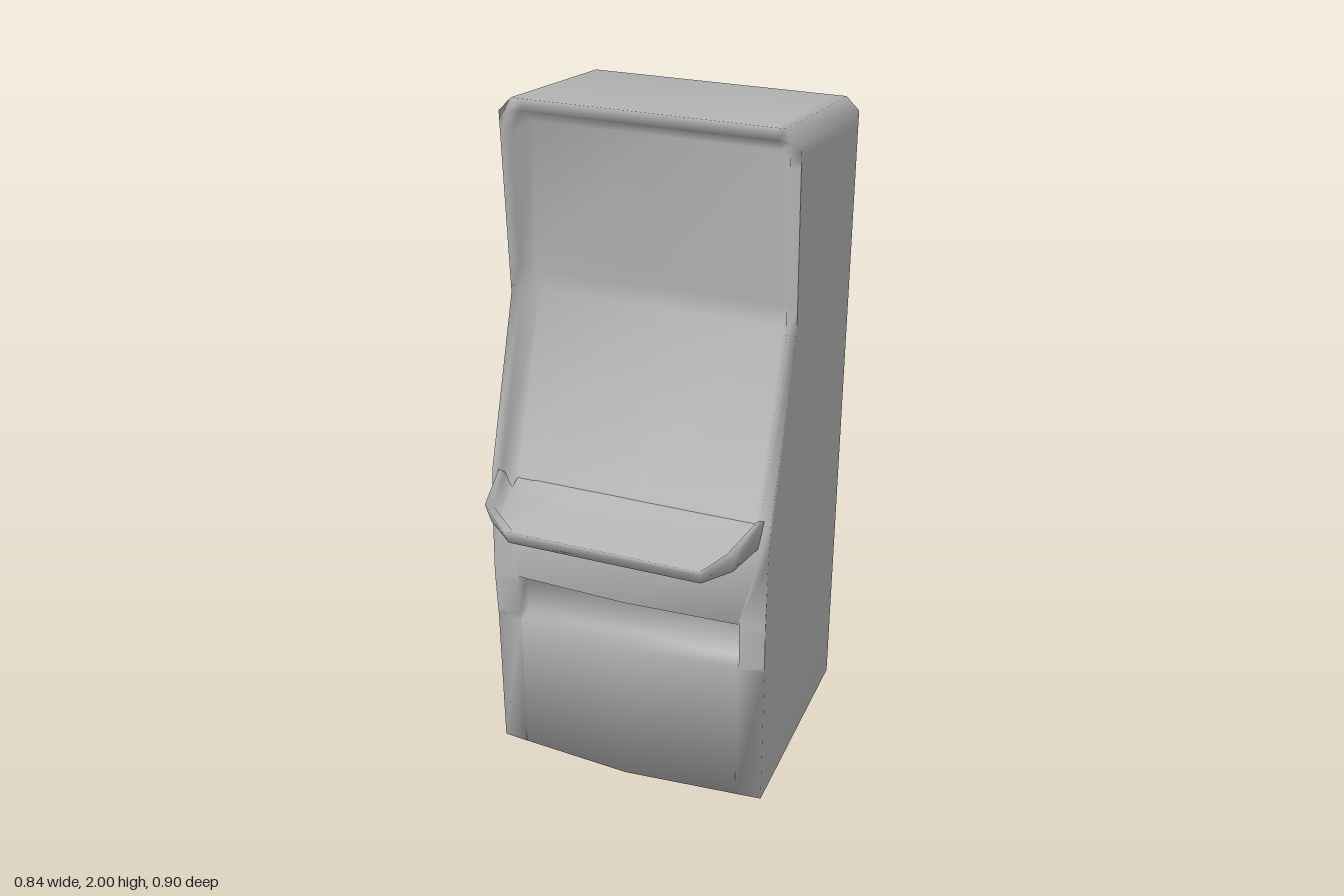
import * as THREE from 'three';

const grey = new THREE.MeshStandardMaterial({ color: 0xb6b6b6 });
grey.name = 'plain grey';

// Mirrors half a cross-section, listed from the outside in, across x = 0.
function mirrorRow(half) {
  const left = half.map(([x, y, z]) => [-x, y, z]);
  const right = half.filter(([x]) => x > 0).reverse();
  return [...left, ...right];
}

// Skins mirrored rows with shared vertices, so shading stays smooth throughout.
function loft(name, halves, closed) {
  const rows = halves.map(mirrorRow);
  const n = rows[0].length;
  const index = [];
  const last = closed ? rows.length : rows.length - 1;
  for (let r = 0; r < last; r++) {
    const s = (r + 1) % rows.length;
    for (let c = 0; c < n - 1; c++) {
      const a = r * n + c, b = a + 1, d = s * n + c, e = d + 1;
      index.push(a, d, b, b, d, e);
    }
  }
  // Flat side panels close the ends of a closed loop.
  if (closed) {
    const outline = rows.map((row) => new THREE.Vector2(row[0][2], row[0][1]));
    for (const [i, j, k] of THREE.ShapeUtils.triangulateShape(outline, [])) {
      const u = outline[j].clone().sub(outline[i]);
      const v = outline[k].clone().sub(outline[i]);
      const [p, q] = u.cross(v) < 0 ? [j, k] : [k, j];
      index.push(i * n + n - 1, p * n + n - 1, q * n + n - 1);
      index.push(i * n, q * n, p * n);
    }
  }
  const geometry = new THREE.BufferGeometry();
  geometry.setAttribute('position', new THREE.Float32BufferAttribute(rows.flat(2), 3));
  geometry.setIndex(index);
  geometry.computeVertexNormals();
  const mesh = new THREE.Mesh(geometry, grey);
  mesh.name = name;
  return mesh;
}

// One cabinet row: side edge, rim, inset panel edge and panel centre.
// Each is given as height and depth; rim and inset also take their x.
function row([oy, oz], [rx, ry, rz], [ix, iy, iz], cz = iz) {
  return [[0.42, oy, oz], [rx, ry, rz], [ix, iy, iz], [0, iy, cz]];
}

export function createModel() {
  const group = new THREE.Group();
  group.name = 'arcadeCabinet';

  group.add(loft('cabinetBody', [
    // back and sloping roof
    row([0, -0.44], [0.39, 0, -0.44], [0.34, 0, -0.44]),
    row([0.42, -0.44], [0.39, 0.42, -0.44], [0.34, 0.42, -0.44]),
    row([1.86, -0.44], [0.39, 1.88, -0.443], [0.34, 1.88, -0.443]),
    row([1.9, -0.44], [0.38, 1.935, -0.447], [0.34, 1.935, -0.447]),
    row([1.96, 0.107], [0.38, 2, 0.11], [0.35, 2, 0.11]),
    // recessed marquee
    row([1.93, 0.105], [0.39, 1.96, 0.107], [0.355, 1.965, 0.105]),
    row([1.9, 0.104], [0.39, 1.9, 0.102], [0.35, 1.92, 0.04]),
    row([1.52, 0.085], [0.39, 1.52, 0.083], [0.355, 1.5, 0.045]),
    // sloping screen
    row([1.43, 0.08], [0.39, 1.43, 0.078], [0.36, 1.42, 0.015]),
    row([0.95, 0.25], [0.39, 0.95, 0.247], [0.36, 0.92, 0.205]),
    // upper front panel
    row([0.84, 0.262], [0.395, 0.84, 0.262], [0.355, 0.84, 0.27], 0.278),
    row([0.62, 0.27], [0.345, 0.622, 0.275], [0.34, 0.615, 0.275], 0.29),
    // coin recess
    row([0.59, 0.269], [0.345, 0.595, 0.273], [0.335, 0.6, 0.225]),
    row([0.48, 0.262], [0.345, 0.48, 0.268], [0.335, 0.475, 0.225]),
    // lower front panel, bowed at the centre
    row([0.46, 0.26], [0.345, 0.455, 0.266], [0.34, 0.46, 0.266], 0.29),
    row([0, 0.255], [0.345, 0, 0.262], [0.34, 0, 0.262], 0.29),
  ], true));

  // Control shelf with raised side rims and cut front corners
  group.add(loft('controlShelf', [
    [[0.36, 0.915, 0.2], [0.3, 0.915, 0.2], [0.2, 0.915, 0.2]],
    [[0.36, 0.9, 0.25], [0.33, 0.88, 0.38], [0.27, 0.87, 0.43]],
    [[0.38, 0.945, 0.25], [0.345, 0.917, 0.395], [0.285, 0.875, 0.443]],
    [[0.4, 0.95, 0.25], [0.37, 0.92, 0.4], [0.29, 0.87, 0.45]],
    [[0.39, 0.865, 0.25], [0.36, 0.86, 0.385], [0.285, 0.832, 0.43]],
    [[0.38, 0.845, 0.22], [0.3, 0.832, 0.22], [0.2, 0.832, 0.22]],
  ], false));

  return group;
}
